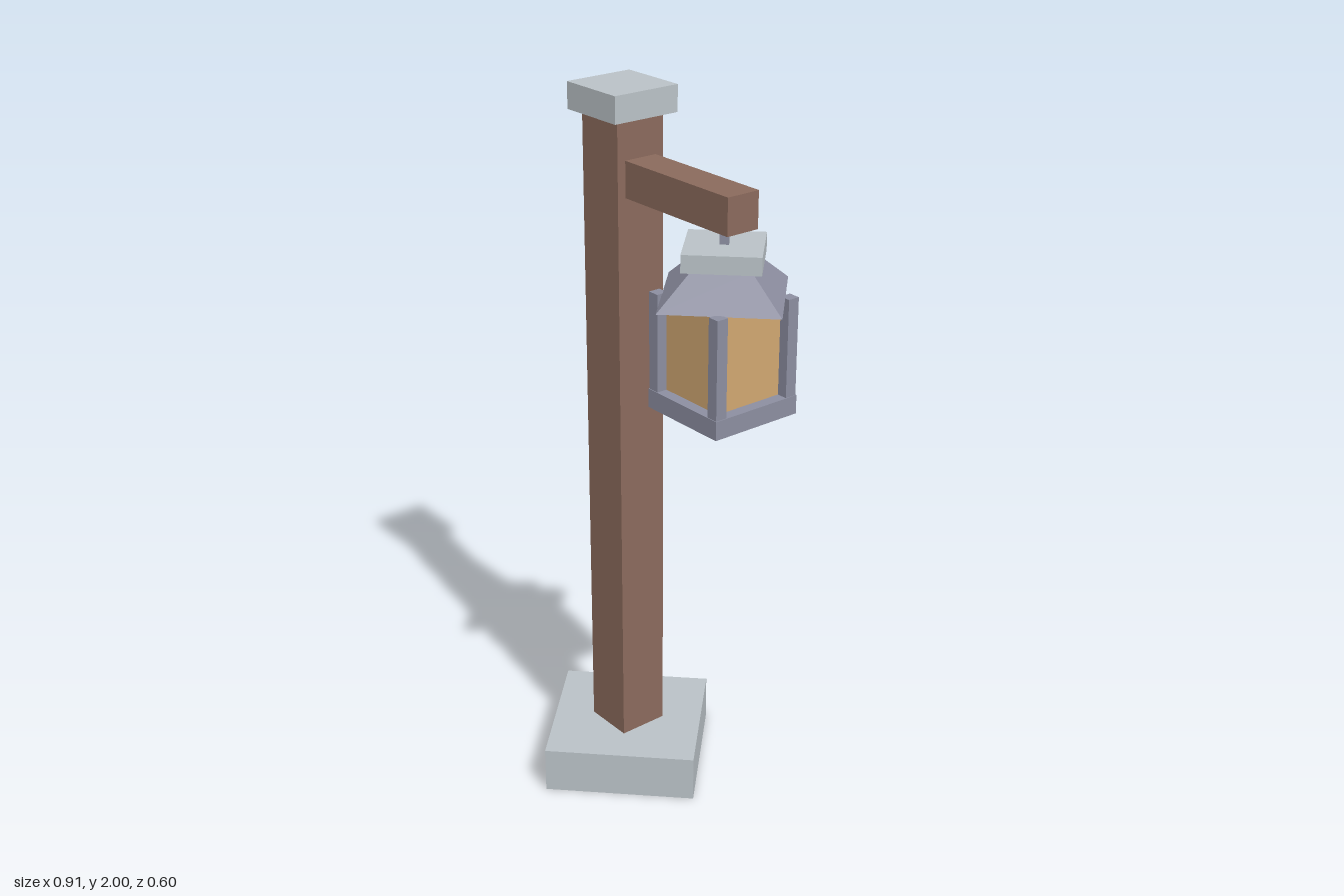
import * as THREE from 'three';

const mat = (name, color) => {
  const m = new THREE.MeshStandardMaterial({ color });
  m.name = name;
  return m;
};

export function createModel() {
  const stone = mat('stone', 0xb9c1c6);
  const wood = mat('wood', 0x8a6a5c);
  const metal = mat('metal', 0x8c8ea0);
  const glass = mat('amber glass', 0xd0a671);

  const add = (parent, name, geometry, material, x, y, z = 0) => {
    const mesh = new THREE.Mesh(geometry, material);
    mesh.name = name;
    mesh.position.set(x, y, z);
    parent.add(mesh);
    return mesh;
  };
  // Box from its lower to its upper height
  const box = (parent, name, material, w, y0, y1, d, x, z = 0) =>
    add(parent, name, new THREE.BoxGeometry(w, y1 - y0, d), material, x, (y0 + y1) / 2, z);
  // Flat four-sided block with its corners on the axes
  const diamond = (parent, name, material, rTop, rBottom, y0, y1, x) => {
    const g = new THREE.CylinderGeometry(rTop, rBottom, y1 - y0, 4).toNonIndexed();
    g.computeVertexNormals();
    return add(parent, name, g, material, x, (y0 + y1) / 2);
  };

  const model = new THREE.Group();
  model.name = 'lampPost';

  // Post with its base, cap and arm
  const postX = -0.157;
  diamond(model, 'base', stone, 0.3, 0.3, 0, 0.132, postX);
  box(model, 'post', wood, 0.144, 0.13, 1.93, 0.144, postX);
  box(model, 'postCap', stone, 0.196, 1.93, 2, 0.196, postX);
  box(model, 'arm', wood, 0.392, 1.73, 1.826, 0.096, 0.109);

  // Hanging lantern
  const lantern = new THREE.Group();
  lantern.name = 'lantern';
  lantern.position.x = 0.24;
  model.add(lantern);
  diamond(lantern, 'hanger', metal, 0.016, 0.016, 1.68, 1.735, 0);
  diamond(lantern, 'lanternCap', stone, 0.137, 0.137, 1.642, 1.688, 0);
  diamond(lantern, 'roof', metal, 0.1, 0.212, 1.556, 1.643, 0);
  box(lantern, 'pane', glass, 0.2, 1.295, 1.558, 0.2, 0);
  box(lantern, 'floor', metal, 0.262, 1.25, 1.3, 0.262, 0);
  for (const sx of [-1, 1]) {
    for (const sz of [-1, 1]) {
      box(lantern, 'cornerBar', metal, 0.032, 1.295, 1.558, 0.032, sx * 0.113, sz * 0.113);
    }
  }
  return model;
}
